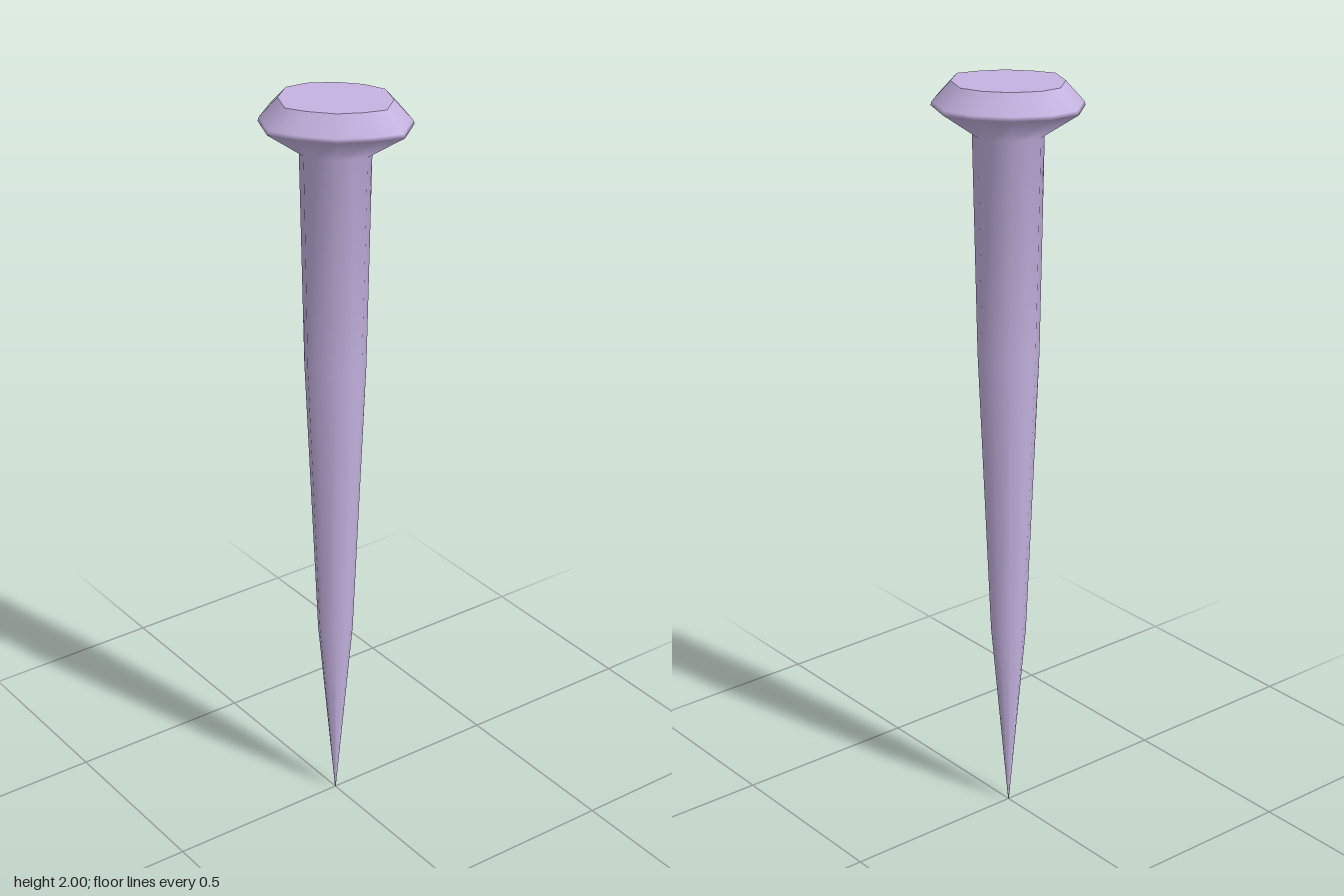
import * as THREE from 'three';

// Hammered head outline (x, z), seen from above
const outline = [
  [0.022, -0.183], [0.117, -0.148], [0.18, -0.072], [0.157, 0], [0.115, 0.078], [0.04, 0.143],
  [-0.024, 0.18], [-0.118, 0.144], [-0.181, 0.068], [-0.174, -0.008], [-0.126, -0.091], [-0.055, -0.153],
];
const N = outline.length;

// One cross-section: the outline scaled, blended toward a circle of the given radius
function ring(y, scale, radius = 0, round = 0) {
  return outline.map(([x, z]) => {
    const a = Math.atan2(z, x);
    return [
      THREE.MathUtils.lerp(x * scale, Math.cos(a) * radius, round),
      y,
      THREE.MathUtils.lerp(z * scale, Math.sin(a) * radius, round),
    ];
  });
}

// Smooth skin through rings listed from bottom to top
function loft(rings) {
  const index = [];
  for (let r = 0; r < rings.length - 1; r++) {
    for (let i = 0; i < N; i++) {
      const a = r * N + i, b = r * N + (i + 1) % N;
      index.push(a, a + N, b, b, a + N, b + N);
    }
  }
  const geometry = new THREE.BufferGeometry();
  geometry.setAttribute('position', new THREE.Float32BufferAttribute(rings.flat(2), 3));
  geometry.setIndex(index);
  geometry.computeVertexNormals();
  return geometry;
}

// Flat fan closing a ring from above
function cap(points) {
  const index = [];
  for (let i = 1; i < N - 1; i++) index.push(0, i + 1, i);
  const geometry = new THREE.BufferGeometry();
  geometry.setAttribute('position', new THREE.Float32BufferAttribute(points.flat(), 3));
  geometry.setIndex(index);
  geometry.computeVertexNormals();
  return geometry;
}

export function createModel() {
  const group = new THREE.Group();
  group.name = 'nail';
  const material = new THREE.MeshStandardMaterial({ color: 0xc4b2e0 });
  const add = (name, geometry) => {
    const mesh = new THREE.Mesh(geometry, material);
    mesh.name = name;
    group.add(mesh);
  };

  // Tapered shank flowing into the flared head
  const top = ring(2, 0.74);
  add('shankAndHead', loft([
    ring(0, 0, 0.001, 1),
    ring(0.52, 0, 0.046, 1),
    ring(1.3, 0, 0.078, 1),
    ring(1.87, 0.48, 0.08, 0.15),
    ring(1.94, 1),
    ring(1.95, 0.98),
    top,
  ]));

  // Flat striking face
  add('strikingFace', cap(top));
  return group;
}
